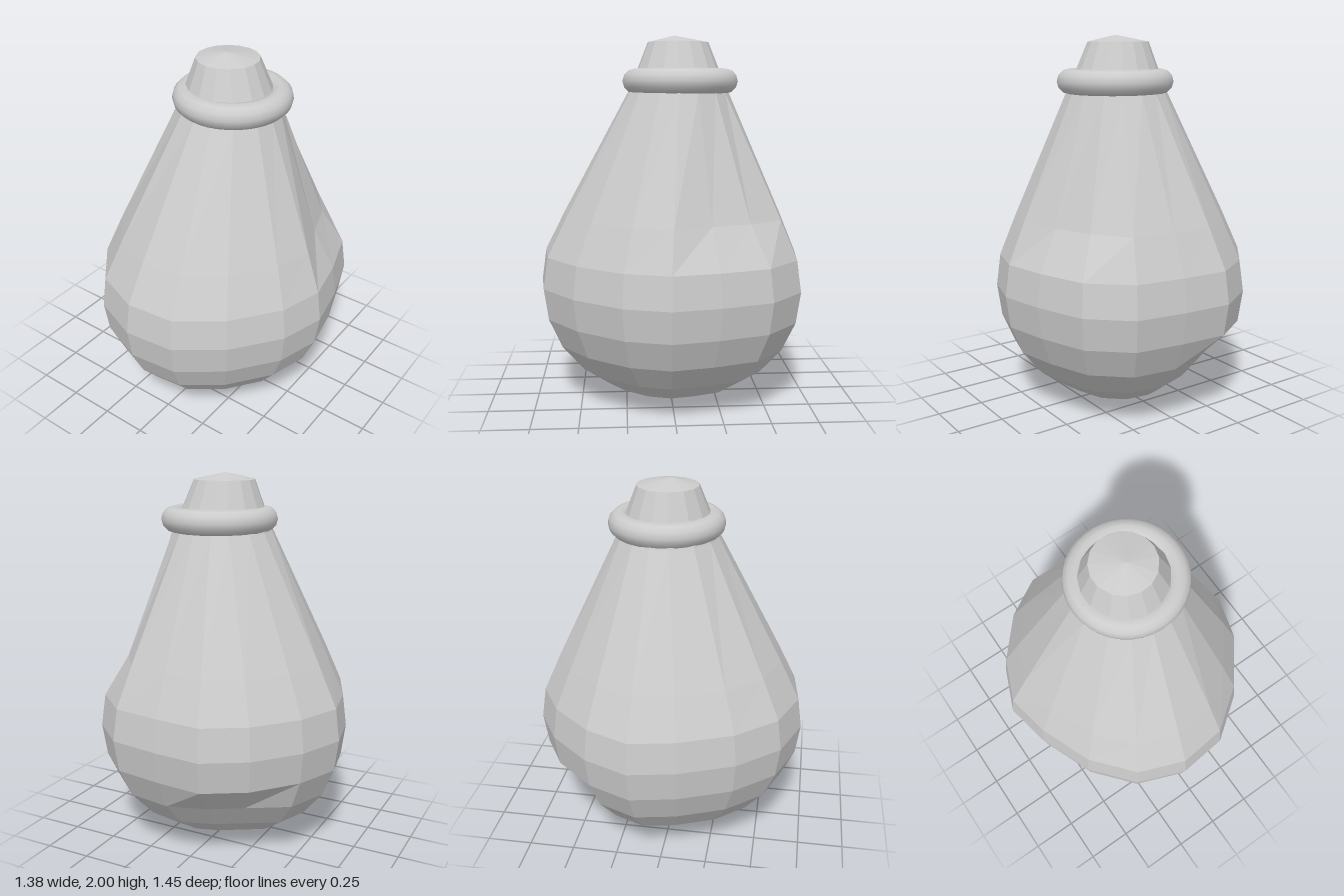
import * as THREE from 'three';

// Widest outline of the body, [x, z], running from the left side round the front
const OUTLINE = [
  [0.69, 0.03], [0.62, 0.27], [0.43, 0.52], [0.2, 0.69],
  [-0.07, 0.72], [-0.33, 0.62], [-0.52, 0.4], [-0.64, 0.11],
  [-0.69, -0.14], [-0.59, -0.38], [-0.4, -0.6], [-0.18, -0.73],
  [0.08, -0.71], [0.35, -0.67], [0.55, -0.49], [0.64, -0.22],
];
const SIDES = OUTLINE.length;
const BACK_NOTCH = [10, 11]; // columns pressed in near the foot
const SHOULDER_DENT = [14, 15]; // columns pressed in above the belly

// Cross-section that follows the outline
function bellyRing(y, scale, pressed = [], press = 1) {
  return OUTLINE.map(([x, z], i) => {
    const s = scale * (pressed.includes(i) ? press : 1);
    return [x * s, y, z * s];
  });
}

// Round cross-section, its corners in line with those of the outline
function neckRing(y, radius, cx, cz) {
  return OUTLINE.map(([x, z]) => {
    const a = Math.atan2(z, x);
    return [cx + radius * Math.cos(a), y, cz + radius * Math.sin(a)];
  });
}

// Blend of two cross-sections
function blendRing(a, b, t) {
  return a.map((p, i) => p.map((v, k) => THREE.MathUtils.lerp(v, b[i][k], t)));
}

// Closed skin through a stack of rings, from bottom to top
function loft(rings) {
  const index = [];
  for (let r = 0; r < rings.length - 1; r++) {
    for (let j = 0; j < SIDES; j++) {
      const a = r * SIDES + j;
      const b = r * SIDES + ((j + 1) % SIDES);
      index.push(a, a + SIDES, b, b, a + SIDES, b + SIDES);
    }
  }
  const geo = new THREE.BufferGeometry();
  geo.setAttribute('position', new THREE.Float32BufferAttribute(rings.flat(2), 3));
  geo.setIndex(index);
  geo.computeVertexNormals();
  return geo;
}

export function createModel() {
  const group = new THREE.Group();
  group.name = 'bulb';

  // Spherical belly, in steps of 15 degrees
  const rings = [];
  for (let i = 0; i <= 7; i++) {
    const a = THREE.MathUtils.degToRad(i * 15);
    const y = 0.66 * (1 - Math.cos(a));
    const press = i < 5 ? 0.87 : 1;
    rings.push(bellyRing(y, Math.sin(a), BACK_NOTCH, press));
  }

  // Straight shoulder, with a shallow dent, up to the neck and low cap
  const collar = neckRing(1.7, 0.272, 0.035, -0.04);
  const dented = bellyRing(0.845, 0.966, SHOULDER_DENT, 0.92);
  rings.push(
    blendRing(dented, collar, 0.23),
    collar,
    neckRing(1.83, 0.217, 0.03, -0.04),
    neckRing(1.965, 0.163, 0.025, -0.04),
    neckRing(2, 0, 0.03, -0.02)
  );
  const body = new THREE.Mesh(
    loft(rings),
    new THREE.MeshStandardMaterial({ color: 0xcccccc, flatShading: true })
  );
  body.name = 'body';
  group.add(body);

  // Ring around the neck
  const ring = new THREE.Mesh(
    new THREE.TorusGeometry(0.243, 0.066, 12, 36),
    new THREE.MeshStandardMaterial({ color: 0xcccccc })
  );
  ring.name = 'neckRing';
  ring.rotation.x = Math.PI / 2;
  ring.position.set(0.05, 1.76, -0.05);
  group.add(ring);

  return group;
}
